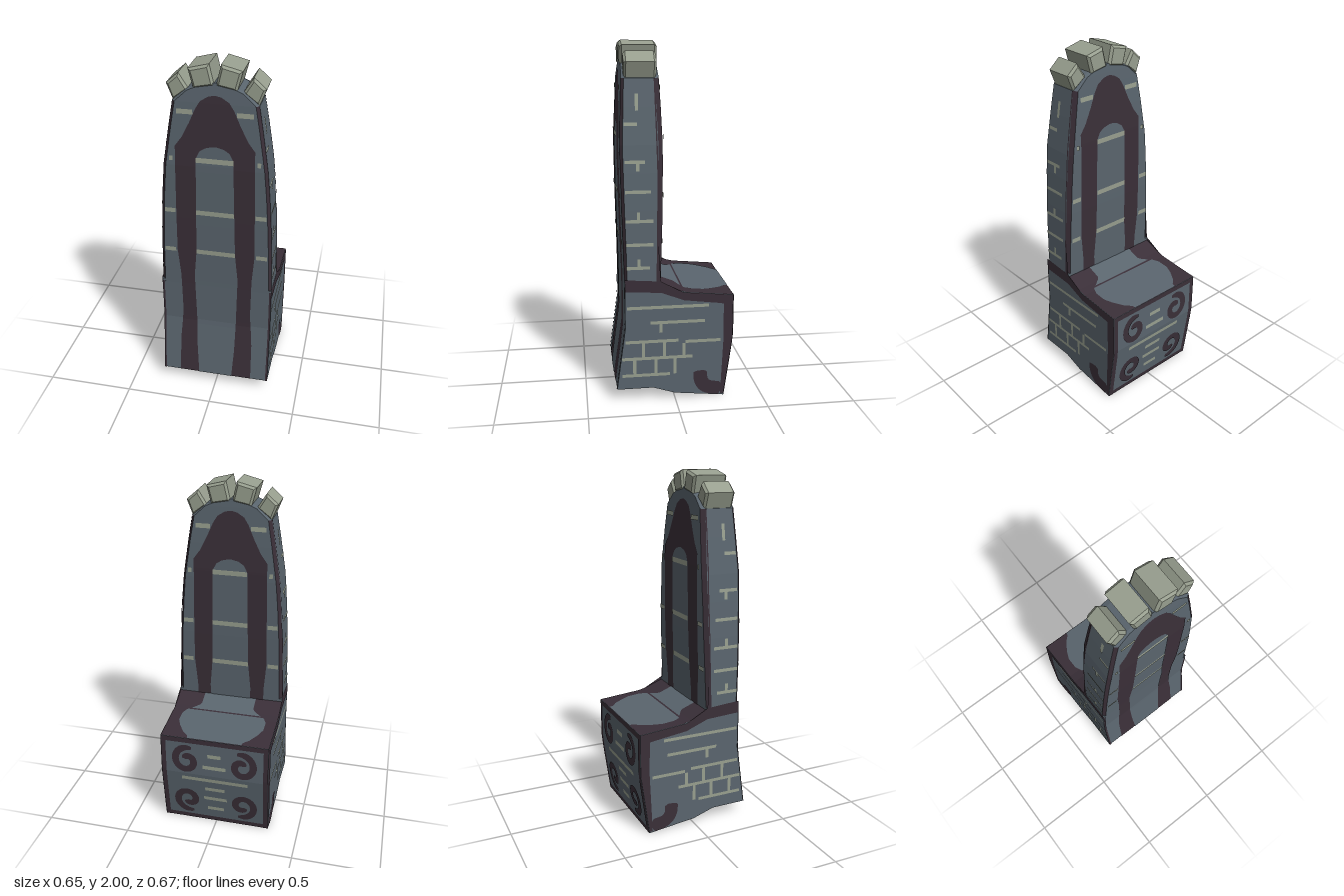
import * as THREE from 'three';

export function createModel() {
  const root = new THREE.Group();
  root.name = 'stoneThrone';
  const paint = (name, color) => {
    const m = new THREE.MeshStandardMaterial({ color, side: THREE.DoubleSide });
    m.name = name;
    return m;
  };
  const slate = paint('slate', 0x5a656e);
  const plum = paint('plum', 0x3a2f38);
  const mortar = paint('paleStone', 0x989f8f);

  const add = (parent, name, geo, mat) => {
    const m = new THREE.Mesh(geo, mat);
    m.name = name;
    parent.add(m);
    return m;
  };
  const group = (name) => {
    const g = new THREE.Group();
    g.name = name;
    root.add(g);
    return g;
  };
  // piecewise linear lookup in a list of [key, value]
  const lerp = (list, t) => {
    if (t <= list[0][0]) return list[0][1];
    for (let i = 1; i < list.length; i++) {
      const [a, p] = list[i - 1], [b, q] = list[i];
      if (t <= b) return p + ((q - p) * (t - a)) / (b - a);
    }
    return list[list.length - 1][1];
  };
  const quads = (list) => {
    const pos = [];
    for (const [a, b, c, d] of list) pos.push(...a, ...b, ...c, ...a, ...c, ...d);
    const g = new THREE.BufferGeometry();
    g.setAttribute('position', new THREE.Float32BufferAttribute(pos, 3));
    g.computeVertexNormals();
    return g;
  };

  // profiles by height: half width, rear face, seat-side face, seat top
  const halfW = [[0, 0.32], [0.68, 0.319], [0.9, 0.314], [1.2, 0.302], [1.45, 0.28], [1.65, 0.25], [1.8, 0.225], [1.86, 0.16], [1.89, 0.09], [1.905, 0.01]];
  const rearZ = [[0.07, 0.33], [0.43, 0.28], [0.7, 0.28], [1.1, 0.29], [1.45, 0.295], [1.8, 0.28], [1.9, 0.272]];
  const innerZ = [[0.68, 0.08], [1.1, 0.066], [1.5, 0.061], [1.85, 0.078], [1.9, 0.082]];
  const seatFrontZ = [[0, -0.28], [0.36, -0.33], [0.605, -0.33]];
  const seatTopY = [[-0.33, 0.605], [-0.05, 0.63], [0.08, 0.68]];

  // seat block, extruded across x
  const outline = [[0.33, 0.07], [0.28, 0.43], [0.28, 0.7], [0.08, 0.7], [0.08, 0.68], [-0.05, 0.63], [-0.33, 0.605],
    [-0.33, 0.36], [-0.28, 0], [0, 0.03], [0.125, 0.07]];
  const seatGeo = new THREE.ExtrudeGeometry(new THREE.Shape(outline.map(([z, y]) => new THREE.Vector2(-z, y))),
    { depth: 0.64, bevelEnabled: false });
  seatGeo.translate(0, 0, -0.32).rotateY(Math.PI / 2);
  add(root, 'seatBlock', seatGeo, slate);

  // tall backrest, lofted from chamfered cross-sections
  const levels = [0.68, 0.9, 1.1, 1.3, 1.45, 1.65, 1.8, 1.86, 1.89, 1.905];
  const rings = levels.map((y) => {
    const w = lerp(halfW, y), f = lerp(innerZ, y), b = lerp(rearZ, y);
    const c = Math.min(0.016, w * 0.5);
    return [[-w + c, y, b], [w - c, y, b], [w, y, b - 0.015], [w, y, f + 0.025],
      [w - c, y, f], [-w + c, y, f], [-w, y, f + 0.025], [-w, y, b - 0.015]];
  });
  const faces = [], chamfers = [];
  for (let i = 0; i < rings.length - 1; i++) for (let k = 0; k < 8; k++) {
    const n = (k + 1) % 8;
    (k % 2 && levels[i] < 1.8 ? chamfers : faces).push([rings[i][k], rings[i][n], rings[i + 1][n], rings[i + 1][k]]);
  }
  const t = rings[rings.length - 1];
  faces.push([t[0], t[1], t[4], t[5]]);
  const back = group('backrest');
  add(back, 'backrestFaces', quads(faces), slate);
  add(back, 'backrestEdges', quads(chamfers), plum);

  // surfaces on which painted plates lie: (u, v, offset) to a point
  const onRear = (x, y, o) => [x, y, lerp(rearZ, y) + o];
  const onInner = (x, y, o) => [x, y, lerp(innerZ, y) - o];
  const onFront = (x, y, o) => [x, y, lerp(seatFrontZ, y) - o];
  const onTop = (x, z, o) => [x, lerp(seatTopY, z) + o, z];
  const onSide = (s) => (z, y, o) => [s * (lerp(halfW, y) + o), y, z];

  // strip with rows [v, u0, u1], following the surface
  const strip = (parent, name, map, rows, mat, off) => {
    const list = [], steps = 8;
    for (let i = 0; i < rows.length - 1; i++) for (let k = 0; k < steps; k++) {
      const at = (s) => rows[i].map((a, j) => a + (rows[i + 1][j] - a) * s);
      const p = at(k / steps), q = at((k + 1) / steps);
      list.push([map(p[1], p[0], off), map(p[2], p[0], off), map(q[2], q[0], off), map(q[1], q[0], off)]);
    }
    return add(parent, name, quads(list), mat);
  };
  const bar = (parent, name, map, u0, u1, v0, v1, mat, off) =>
    strip(parent, name, map, [[v0, u0, u1], [v1, u0, u1]], mat, off);
  // ribbon of the given width along a curve in (u, v)
  const ribbon = (parent, name, map, pts, width, mat, off) => {
    const curve = new THREE.SplineCurve(pts.map(([u, v]) => new THREE.Vector2(u, v)));
    const n = 40, edge = [];
    for (let i = 0; i <= n; i++) {
      const p = curve.getPoint(i / n), d = curve.getTangent(i / n);
      // rounded ends
      const h = (width / 2) * Math.sqrt(Math.min(1, 0.2 + Math.min(i, n - i) / 4));
      edge.push([map(p.x - d.y * h, p.y + d.x * h, off), map(p.x + d.y * h, p.y - d.x * h, off)]);
    }
    const list = [];
    for (let i = 0; i < n; i++) list.push([edge[i][0], edge[i][1], edge[i + 1][1], edge[i + 1][0]]);
    add(parent, name, quads(list), mat);
  };

  // arch and courses painted on both broad faces of the backrest
  const arch = [[0.75, 0.205], [0.92, 0.22], [1.2, 0.217], [1.45, 0.213], [1.56, 0.212], [1.61, 0.175], [1.69, 0.135], [1.77, 0.1], [1.81, 0.075], [1.835, 0.035], [1.842, 0.005]];
  const panel = [[0.75, 0.125], [0.92, 0.11], [1.2, 0.105], [1.5, 0.1], [1.54, 0.08], [1.56, 0.05], [1.57, 0.01]];
  const rowsOf = (list) => list.map(([y, w]) => [y, -w, w]);
  for (const [label, map, archFoot, panelFoot] of [
    ['rear', onRear, [[0.072, 0.217], [0.3, 0.215], [0.5, 0.2]], [[0.072, 0.1], [0.25, 0.112], [0.5, 0.118]]],
    ['inner', onInner, [[0.682, 0.205]], [[0.682, 0.122]]]]) {
    const g = group(label + 'Painting');
    strip(g, 'arch', map, rowsOf([...archFoot, ...arch]), plum, 0.003);
    strip(g, 'archPanel', map, rowsOf([...panelFoot, ...panel]), slate, 0.005);
    for (const [y, w] of [[1.49, 0.1], [1.175, 0.105], [0.92, 0.11]])
      bar(g, 'panelCourse', map, -w, w, y - 0.014, y + 0.014, mortar, 0.007);
    for (const s of [-1, 1])
      for (const [y, a, b] of [[1.75, 0.115, 0.2], [1.49, 0.225, 0.245], [1.175, 0.222, 0.28], [0.92, 0.228, 0.29]])
        bar(g, 'outerCourse', map, s * a, s * b, y - 0.013, y + 0.013, mortar, 0.005);
  }
  const edges = group('rearEdges');
  for (const s of [-1, 1]) bar(edges, 'rearEdge', onRear, s * 0.308, s * 0.32, 0.07, 0.69, plum, 0.003);

  // seat top: plum with a slate cushion shape
  const top = group('seatTop');
  bar(top, 'seatTopBorder', onTop, -0.32, 0.32, -0.33, 0.08, plum, 0.002);
  strip(top, 'seatTopField', onTop, rowsOf([[-0.33, 0.16], [-0.31, 0.165], [-0.28, 0.198], [-0.22, 0.235], [-0.17, 0.256],
    [-0.1, 0.256], [-0.06, 0.238], [-0.035, 0.2], [-0.015, 0.17], [0, 0.16], [0.08, 0.16]]), slate, 0.005);

  // seat front: frame, four scrolls and stone courses
  const front = group('seatFront');
  bar(front, 'topBorder', onFront, -0.32, 0.32, 0.575, 0.605, plum, 0.002);
  bar(front, 'bottomBorder', onFront, -0.32, 0.32, 0, 0.03, plum, 0.002);
  for (const [y, w] of [[0.5, 0.04], [0.42, 0.07], [0.325, 0.2], [0.255, 0.06], [0.18, 0.07], [0.1, 0.05]])
    bar(front, 'course', onFront, -w, w, y - 0.012, y + 0.012, mortar, 0.002);
  for (const s of [-1, 1]) {
    bar(front, 'sideBorder', onFront, s * 0.292, s * 0.32, 0, 0.605, plum, 0.003);
    for (const [cy, up] of [[0.455, 1], [0.155, -1]]) {
      const pts = [];
      for (let i = 0; i <= 20; i++) {
        const a = 1.9 - (i / 20) * 7.6, r = 0.085 - 0.066 * (i / 20);
        pts.push([s * (0.165 + r * Math.cos(a)), cy + up * r * Math.sin(a) * 1.1]);
      }
      ribbon(front, 'scroll', onFront, pts, 0.042, plum, 0.005);
    }
  }

  // both flanks: plum borders, scroll foot and brick joints
  for (const s of [-1, 1]) {
    const g = group(s > 0 ? 'leftFlank' : 'rightFlank'), map = onSide(s);
    const flip = (u, v, o) => map(v, u, o);
    strip(g, 'seatBorder', flip, [[-0.33, 0.545, 0.605], [-0.25, 0.56, 0.612], [-0.05, 0.585, 0.63], [0.08, 0.635, 0.7], [0.28, 0.645, 0.715]], plum, 0.003);
    strip(g, 'frontBorder', map, [[0.01, -0.262, -0.281], [0.36, -0.278, -0.33], [0.6, -0.275, -0.33]], plum, 0.003);
    ribbon(g, 'scrollFoot', map, [[-0.145, 0.16], [-0.15, 0.1], [-0.185, 0.06], [-0.265, 0.045]], 0.08, plum, 0.004);
    strip(g, 'backrestBorder', map, [[0.69, 0.105, 0.08], [0.95, 0.1, 0.094], [1.3, 0.095, 0.088], [1.8, 0.105, 0.098]], plum, 0.002);
    for (const [y, a, b] of [[0.15, 0.3, 0.03], [0.25, 0.3, -0.1], [0.35, 0.28, -0.02], [0.34, -0.06, -0.26], [0.46, 0.14, -0.17], [0.55, 0.27, -0.19],
      [0.78, 0.27, 0.14], [0.91, 0.27, 0.12], [1.04, 0.27, 0.12], [1.2, 0.27, 0.13], [1.36, 0.27, 0.16], [1.56, 0.27, 0.2]])
      bar(g, 'joint', map, a, b, y - 0.009, y + 0.009, mortar, 0.002);
    for (const [z, a, b] of [[0.18, 0.25, 0.35], [0.06, 0.25, 0.35], [0.23, 0.15, 0.25], [0.11, 0.15, 0.25], [0.0, 0.15, 0.25],
      [-0.05, 0.25, 0.33], [0.08, 0.4, 0.46], [0.2, 0.78, 0.83], [0.2, 1.04, 1.09], [0.2, 1.31, 1.36], [0.2, 1.63, 1.72]])
      bar(g, 'upright', map, z - 0.009, z + 0.009, a, b, mortar, 0.002);
  }

  // fan of crown stones with bevelled edges
  const crown = group('crown');
  for (const s of [-1, 1]) for (const [name, pts, z0, z1] of [
    ['innerCrownStone', [[0.004, 1.89], [0.03, 2.0], [0.14, 1.972], [0.112, 1.868]], 0.075, 0.28],
    ['outerCrownStone', [[0.138, 1.858], [0.192, 1.942], [0.257, 1.885], [0.222, 1.797]], 0.09, 0.267]]) {
    const shape = new THREE.Shape(pts.map(([x, y]) => new THREE.Vector2(s * x, y)));
    const b = 0.013;
    const geo = new THREE.ExtrudeGeometry(shape, { depth: z1 - z0 - 2 * b, bevelEnabled: true, bevelSegments: 1, bevelSize: b, bevelThickness: b, bevelOffset: -b });
    geo.translate(0, 0, z0 + b);
    add(crown, name, geo, mortar);
  }
  return root;
}
